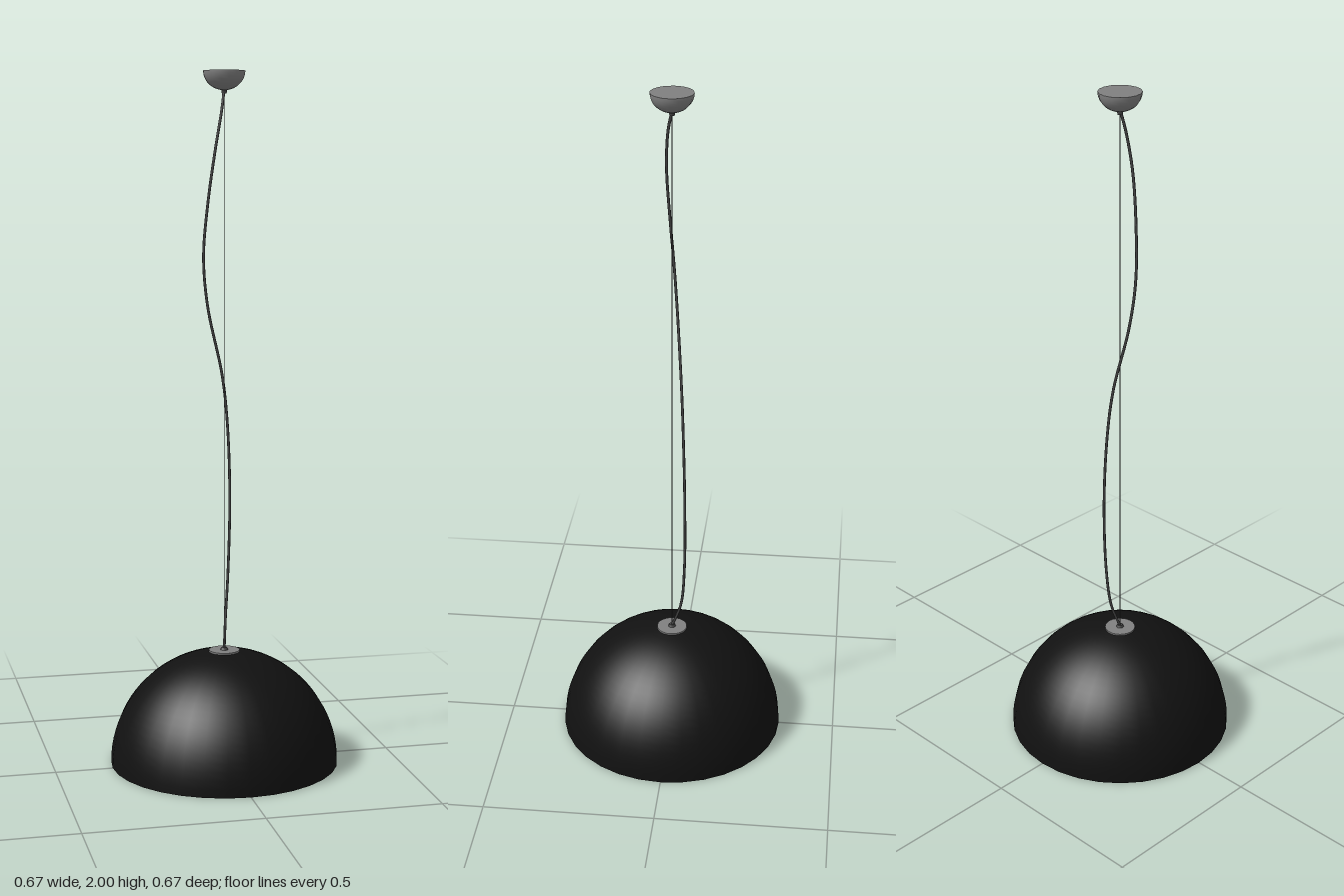
import * as THREE from 'three';

const paint = (color, side = THREE.FrontSide) => new THREE.MeshStandardMaterial({ color, side });

export function createModel() {
  const model = new THREE.Group();
  const black = paint(0x111111, THREE.DoubleSide);
  const grey = paint(0x808080);
  const dark = paint(0x444444);

  const add = (name, geometry, material, y = 0) => {
    const mesh = new THREE.Mesh(geometry, material);
    mesh.name = name;
    mesh.position.y = y;
    model.add(mesh);
    return mesh;
  };

  // Quarter-circle profile from the rim up to a small central opening
  const arc = (radius, opening, steps) => {
    const end = Math.acos(opening / radius);
    return Array.from({ length: steps + 1 }, (_, i) => {
      const a = (end * i) / steps;
      return new THREE.Vector2(radius * Math.cos(a), radius * Math.sin(a));
    });
  };

  // Hemispherical shade: thin shell with a closed rim
  const outer = arc(0.333, 0.044, 20);
  const inner = arc(0.328, 0.044, 20);
  add('shadeOuter', new THREE.LatheGeometry(outer, 32), black);
  add('shadeInner', new THREE.LatheGeometry(inner, 32), black);
  add('shadeRim', new THREE.RingGeometry(0.328, 0.333, 32).rotateX(Math.PI / 2), black);

  // Cap in the shade's opening, with the cord grip on top
  add('shadeCap', new THREE.CylinderGeometry(0.045, 0.045, 0.008, 24), grey, 0.331);
  add('cordGrip', new THREE.CylinderGeometry(0.008, 0.012, 0.008, 16), dark, 0.338);

  // Lamp holder and bulb inside the shade
  add('lampHolder', new THREE.CylinderGeometry(0.022, 0.022, 0.09, 16), grey, 0.285);
  add('bulb', new THREE.SphereGeometry(0.04, 20, 14), grey, 0.205);

  // Ceiling canopy: hemisphere with a flat top, and a small neck below
  const bowl = new THREE.SphereGeometry(0.06, 16, 10, 0, Math.PI * 2, Math.PI / 2, Math.PI / 2);
  bowl.scale(1, 0.9, 1);
  add('canopyBowl', bowl, grey, 2);
  add('canopyTop', new THREE.CircleGeometry(0.06, 16).rotateX(-Math.PI / 2), grey, 2);
  add('canopyNeck', new THREE.CylinderGeometry(0.009, 0.007, 0.014, 12), dark, 1.944);

  // Loose power cord and the taut wire carrying the shade
  const path = new THREE.CatmullRomCurve3([
    [0, 1.95, 0], [-0.01, 1.89, 0.012], [-0.03, 1.78, 0.018], [-0.05, 1.63, 0.011],
    [-0.06, 1.48, 0], [-0.046, 1.34, -0.011], [0, 1.14, -0.027], [0.017, 1, -0.034],
    [0.026, 0.78, -0.04], [0.02, 0.55, -0.039], [0.01, 0.42, -0.028], [0, 0.336, 0],
  ].map((p) => new THREE.Vector3(...p)));
  add('powerCord', new THREE.TubeGeometry(path, 80, 0.004, 8), dark);
  add('suspensionWire', new THREE.CylinderGeometry(0.0012, 0.0012, 1.61, 6), dark, 1.14);

  return model;
}
